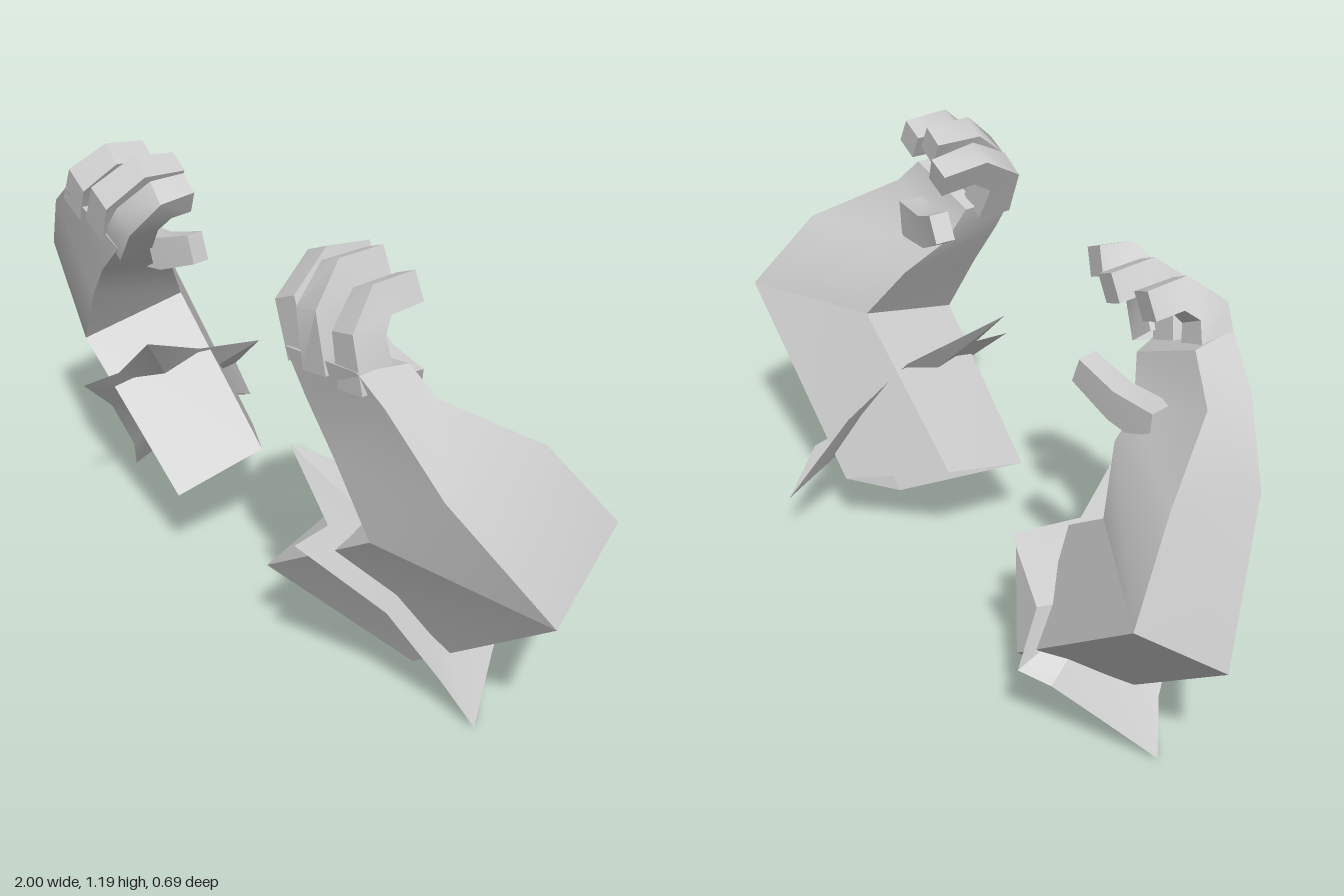
import * as THREE from 'three';
import { toCreasedNormals } from 'three/addons/utils/BufferGeometryUtils.js';

const grey = new THREE.MeshStandardMaterial({ color: 0xcccccc, side: THREE.DoubleSide });
grey.name = 'grey';

function makeMesh(name, positions, index, crease) {
  let g = new THREE.BufferGeometry();
  g.setAttribute('position', new THREE.Float32BufferAttribute(positions.flat(), 3));
  g.setIndex(index);
  g = toCreasedNormals(g, crease);
  const m = new THREE.Mesh(g, grey);
  m.name = name;
  return m;
}

// Skin four-cornered rings; cap closes the last one. flip reverses the winding.
function loft(name, rings, { cap = true, flip = false, crease = 0.75 } = {}) {
  const index = [];
  const quad = (a, b, c, d) => index.push(...(flip ? [a, c, b, a, d, c] : [a, b, c, a, c, d]));
  for (let r = 0; r < rings.length - 1; r++) {
    for (let k = 0; k < 4; k++) {
      const a = r * 4 + k, b = r * 4 + (k + 1) % 4;
      quad(a, b, b + 4, a + 4);
    }
  }
  const e = (rings.length - 1) * 4;
  if (cap) quad(e, e + 1, e + 2, e + 3);
  return makeMesh(name, rings.flat(), index, crease);
}

// Square-section digit along a bent path, thicker at its base
function digit(name, path, halfWidth, halfDepth, side) {
  const pts = path.map(p => new THREE.Vector3(...p));
  const last = pts.length - 1;
  const rings = pts.map((p, i) => {
    const t = pts[Math.min(i + 1, last)].clone().sub(pts[Math.max(i - 1, 0)]).normalize();
    const s = new THREE.Vector3(...side);
    s.addScaledVector(t, -s.dot(t)).normalize();
    const n = new THREE.Vector3().crossVectors(t, s);
    const k = 1.3 - 0.3 * i / last;
    return [[-1, -1], [1, -1], [1, 1], [-1, 1]].map(([u, v]) =>
      p.clone().addScaledVector(s, u * halfWidth * k).addScaledVector(n, v * halfDepth * k).toArray());
  });
  return loft(name, rings, { crease: 0.75 });
}

// Jagged thin sheet fanned around its first point
function blade(points) {
  const index = [];
  const n = points.length - 1;
  for (let i = 0; i < n; i++) index.push(0, i + 1, (i + 1) % n + 1);
  return makeMesh('wristBlade', points, index, 0.4);
}

// Coordinates are written for +x and mirrored for the other arm
const hands = {
  leftArm: {
    sign: 1,
    palm: [
      [[0.44, 0.86, 0.29], [0.69, 0.94, 0.27], [0.71, 0.93, 0.14], [0.45, 0.85, 0.14]],
      [[0.38, 0.97, 0.305], [0.63, 1.01, 0.30], [0.65, 1.0, 0.17], [0.41, 0.95, 0.18]],
    ],
    digits: {
      indexFinger: [[0.42, 0.95, 0.25], [0.365, 1.06, 0.25], [0.335, 1.115, 0.16], [0.335, 1.10, 0.05]],
      middleFinger: [[0.49, 0.95, 0.26], [0.46, 1.08, 0.262], [0.44, 1.14, 0.20], [0.44, 1.14, 0.09]],
      outerFinger: [[0.605, 0.95, 0.25], [0.58, 1.07, 0.255], [0.555, 1.12, 0.20], [0.55, 1.12, 0.09]],
      thumb: [[0.58, 0.88, 0.11], [0.45, 0.895, 0.095], [0.355, 0.945, 0.075]],
    },
    backSpikes: [[0.51, 0.15, -0.34], [0.46, 0.38, -0.17]],
  },
  rightArm: {
    sign: -1,
    palm: [
      [[0.45, 0.83, 0.28], [0.71, 0.93, 0.26], [0.72, 0.93, 0.13], [0.46, 0.80, 0.12]],
      [[0.35, 0.93, 0.29], [0.58, 1.02, 0.30], [0.60, 1.01, 0.18], [0.38, 0.90, 0.18]],
    ],
    digits: {
      indexFinger: [[0.38, 0.93, 0.24], [0.30, 1.02, 0.26], [0.25, 1.08, 0.22], [0.24, 1.085, 0.15]],
      middleFinger: [[0.45, 0.95, 0.25], [0.41, 1.04, 0.265], [0.375, 1.095, 0.20], [0.37, 1.085, 0.10]],
      outerFinger: [[0.56, 0.97, 0.25], [0.525, 1.05, 0.26], [0.49, 1.095, 0.21], [0.485, 1.085, 0.12]],
      thumb: [[0.58, 0.82, 0.11], [0.45, 0.83, 0.085], [0.335, 0.875, 0.06]],
    },
    backSpikes: [[0.55, 0.24, -0.25], [0.52, 0.38, -0.18], [0.39, 0.51, -0.17]],
  },
};

function buildArm(name, spec) {
  const arm = new THREE.Group();
  arm.name = name;
  const m = p => [p[0] * spec.sign, p[1], p[2]];
  const flip = spec.sign < 0;

  // Forearm: open four-sided sleeve, ring order front, bottom, back, top
  const open = [[0.2, 0.25, 0.23], [0.52, 0.05, 0.015], [0.45, 0.2, -0.19], [0.17, 0.32, -0.02]].map(m);
  const bend = [[0.62, 0.55, 0.245], [1, 0.43, 0.015], [0.945, 0.6, -0.21], [0.58, 0.62, -0.04]].map(m);
  arm.add(loft('forearm', [open, bend], { cap: false, flip, crease: 0.3 }));

  // Hand rises from the bend and narrows to the knuckles
  const heel = [[0.52, 0.73, 0.27], [0.83, 0.75, 0.21], [0.855, 0.81, -0.06], [0.50, 0.76, 0.04]].map(m);
  arm.add(loft('palm', [bend, heel, ...spec.palm.map(r => r.map(m))], { flip }));

  // Fingers and thumb
  for (const [part, path] of Object.entries(spec.digits)) {
    const thumb = part === 'thumb';
    arm.add(digit(part, path.map(m), thumb ? 0.026 : 0.033, thumb ? 0.038 : 0.036,
      thumb ? [0, 0, 1] : m([0.87, 0.42, 0])));
  }

  // Spiked sheet through the forearm
  arm.add(blade([
    [0.53, 0.35, 0.02],
    [0.31, 0.66, 0.24], [0.46, 0.51, 0.24], [0.47, 0.5, 0.345], [0.61, 0.32, 0.18],
    [0.685, 0.12, 0.07], [0.76, 0, 0.02], [0.68, 0.12, -0.1], [0.62, 0.22, -0.2],
    ...spec.backSpikes, [0.43, 0.52, 0],
  ].map(m)));
  return arm;
}

export function createModel() {
  const model = new THREE.Group();
  model.name = 'handPair';
  for (const [name, spec] of Object.entries(hands)) model.add(buildArm(name, spec));
  return model;
}
